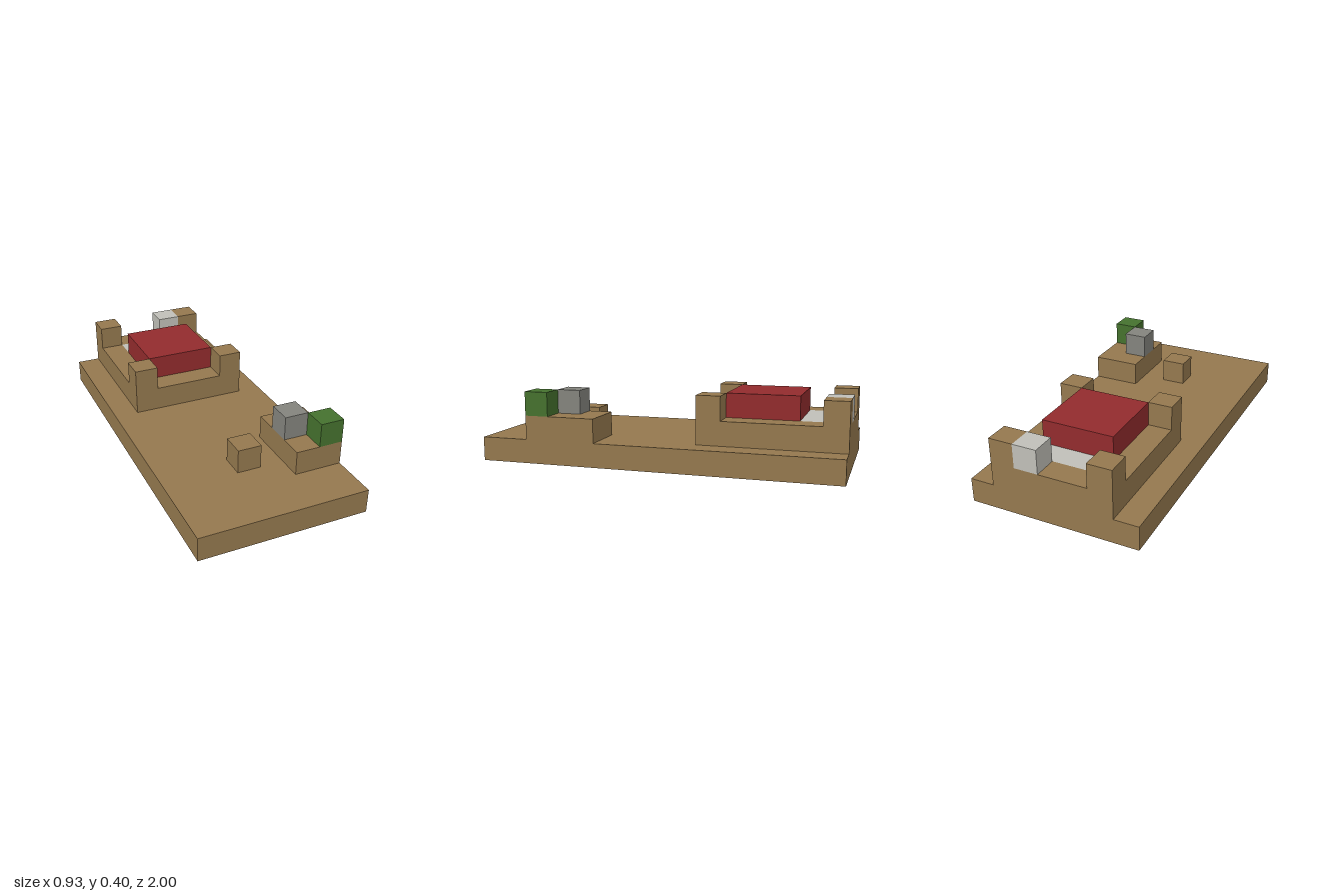
import * as THREE from 'three';

const U = 2 / 15; // one block

const material = (name, color) => {
  const m = new THREE.MeshStandardMaterial({ color });
  m.name = name;
  return m;
};

export function createModel() {
  const wood = material('wood brown', 0x94784e);
  const red = material('blanket red', 0x922b2d);
  const grey = material('stone grey', 0x83837d);
  const white = material('pillow pale grey', 0xc0bfb8);
  const green = material('leaf green', 0x45712e);

  const model = new THREE.Group();
  model.name = 'bedroom';

  // Box measured in blocks: lowest corner (x, y, z) and size (w, h, d)
  const block = (parent, name, mat, [x, y, z], [w, h, d]) => {
    const mesh = new THREE.Mesh(new THREE.BoxGeometry(w * U, h * U, d * U), mat);
    mesh.name = name;
    mesh.position.set((x + w / 2 - 3.5) * U, (y + h / 2) * U, (z + d / 2 - 7.5) * U);
    parent.add(mesh);
  };
  const group = (name) => {
    const g = new THREE.Group();
    g.name = name;
    model.add(g);
    return g;
  };

  block(model, 'floor', wood, [0, 0, 0], [7, 1, 15]);

  // Bed: frame around the mattress base, with posts at the corners
  const bed = group('bed');
  for (const x of [1, 5]) {
    block(bed, 'sideRail', wood, [x, 1, 0], [1, 1, 6]);
    for (const z of [0, 5]) block(bed, 'bedPost', wood, [x, 2, z], [1, 1, 1]);
  }
  block(bed, 'headRail', wood, [2, 1, 0], [3, 1, 1]);
  block(bed, 'footRail', wood, [2, 1, 5], [3, 1, 1]);
  block(bed, 'mattressBase', wood, [2, 1, 2], [3, 1, 3]);
  block(bed, 'pillow', white, [2, 1, 1], [3, 1, 1]);
  block(bed, 'blanket', red, [2, 2, 2], [3, 1, 3]);
  block(bed, 'bedLamp', white, [4, 2, 0], [1, 1, 1]);

  // Desk with a monitor and a plant, and a stool beside it
  const desk = group('deskArea');
  block(desk, 'desk', wood, [5, 1, 10], [2, 1, 3]);
  block(desk, 'monitor', grey, [5, 2, 11], [1, 1, 1]);
  block(desk, 'plant', green, [6, 2, 12], [1, 1, 1]);
  block(desk, 'stool', wood, [3, 1, 11], [1, 1, 1]);

  return model;
}
